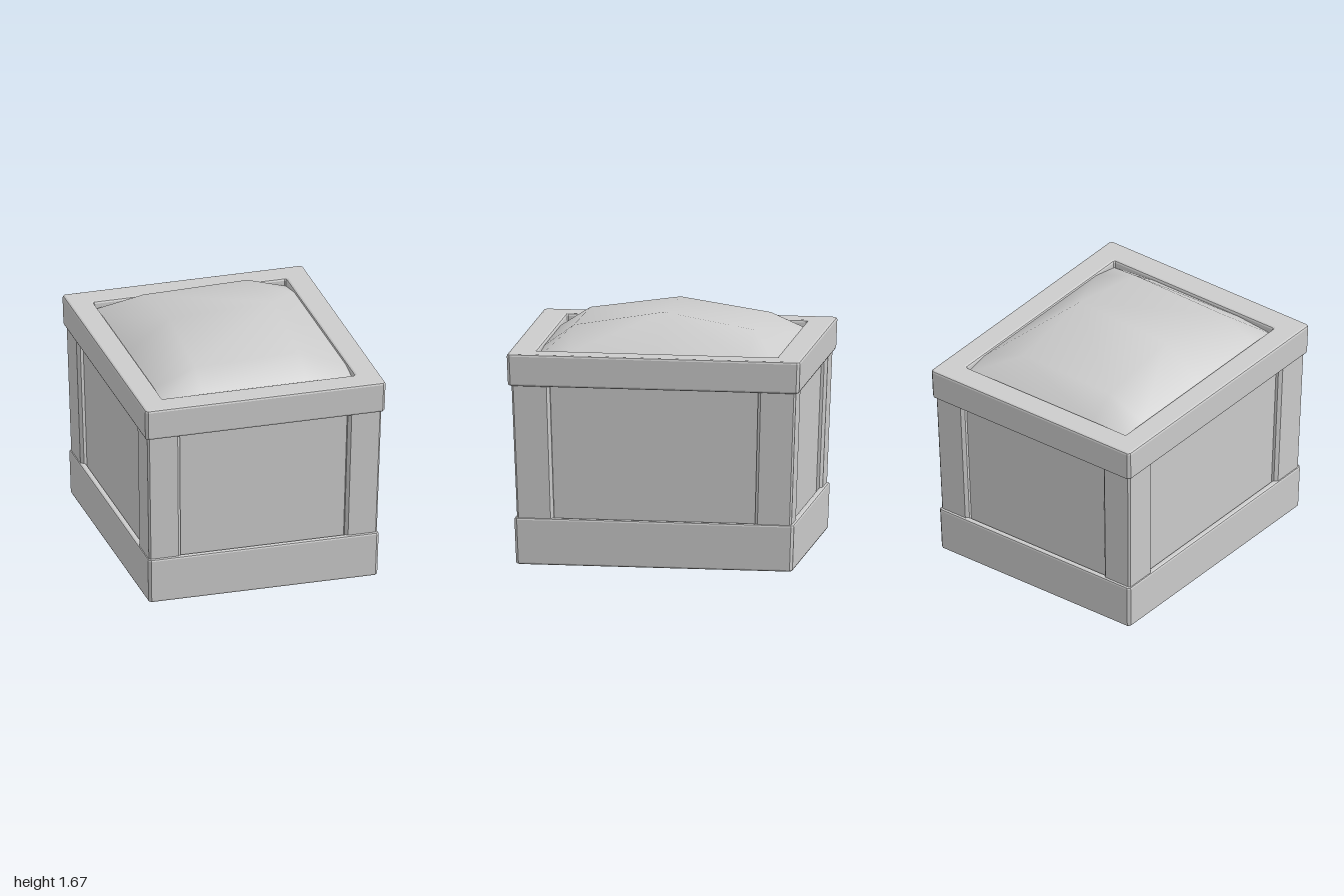
import * as THREE from 'three';

const material = new THREE.MeshStandardMaterial({ color: 0xcccccc, flatShading: true });
const moundMaterial = new THREE.MeshStandardMaterial({ color: 0xcccccc, side: THREE.DoubleSide });

// The whole crate widens slightly towards the top
function taper(geometry) {
  const p = geometry.attributes.position;
  for (let i = 0; i < p.count; i++) {
    const h = p.getY(i) - 0.32;
    p.setX(i, p.getX(i) * (1 + 0.03 * h));
    p.setZ(i, p.getZ(i) * (1 + 0.04 * h));
  }
  geometry.computeVertexNormals();
  return geometry;
}

function addPart(group, name, geometry) {
  const mesh = new THREE.Mesh(taper(geometry), material);
  mesh.name = name;
  group.add(mesh);
}

// Corner points of a rectangle with its corners cut off by c
function cutRect(hx, hz, c) {
  return [
    [hx - c, -hz], [hx, -hz + c], [hx, hz - c], [hx - c, hz],
    [-hx + c, hz], [-hx, hz - c], [-hx, -hz + c], [-hx + c, -hz],
  ].map(([x, y]) => new THREE.Vector2(x, y));
}

// Upright extrusion of a plan shape from y0 to y1 with a bevel b
function upright(shape, y0, y1, b) {
  const g = new THREE.ExtrudeGeometry(shape, {
    depth: y1 - y0 - 2 * b, bevelEnabled: b > 0, bevelSize: b,
    bevelThickness: b, bevelOffset: -b, bevelSegments: 2,
  });
  return g.rotateX(-Math.PI / 2).translate(0, y0 + b, 0);
}

function frame(outer, inner, y0, y1, b) {
  const shape = new THREE.Shape(cutRect(...outer, 0.018));
  shape.holes.push(new THREE.Path(cutRect(...inner, 0.008)));
  return upright(shape, y0, y1, b);
}

// Domed filling: a coarse, smoothly shaded grid whose rim dips into the opening
function mound() {
  const xs = [-0.672, -0.385, 0.345, 0.675];
  const zs = [-0.815, -0.615, 0, 0.615, 0.815];
  const heights = [
    [1.39, 1.42, 1.42, 1.39],
    [1.43, 1.55, 1.565, 1.43],
    [1.43, 1.64, 1.67, 1.43],
    [1.43, 1.55, 1.565, 1.43],
    [1.39, 1.42, 1.42, 1.39],
  ];
  const points = [], index = [];
  zs.forEach((z, j) => xs.forEach((x, i) => points.push(x, heights[j][i], z)));
  for (let j = 0; j < 4; j++) {
    for (let i = 0; i < 3; i++) {
      const a = j * 4 + i, b = a + 1, c = a + 4, d = a + 5;
      // Split each cell along the diagonal that runs towards the crown
      if ((j < 2) === (i < 2)) index.push(a, c, d, a, d, b);
      else index.push(a, c, b, b, c, d);
    }
  }
  const g = new THREE.BufferGeometry();
  g.setAttribute('position', new THREE.Float32BufferAttribute(points, 3));
  g.setIndex(index);
  g.computeVertexNormals();
  return g;
}

export function createModel() {
  const crate = new THREE.Group();
  crate.name = 'crate';

  // Base skirt, open underneath, and heavy top rim
  addPart(crate, 'baseFrame', frame([0.81, 0.953], [0.765, 0.908], 0, 0.32, 0.014));
  addPart(crate, 'topRim', frame([0.817, 0.957], [0.653, 0.782], 1.225, 1.445, 0.016));

  // L-shaped corner posts with chamfered ends
  const X = 0.8, Z = 0.935, t = 0.05, ex = 0.575, ez = 0.685, c = 0.02;
  for (const sx of [-1, 1]) {
    for (const sz of [-1, 1]) {
      const plan = [
        [X - 0.012, Z], [X, Z - 0.012], [X, ez + c], [X - c, ez], [X - t, ez],
        [X - t, Z - t], [ex, Z - t], [ex, Z - c], [ex + c, Z],
      ].map(([x, z]) => new THREE.Vector2(sx * x, sz * z));
      addPart(crate, 'cornerPost', upright(new THREE.Shape(plan), 0.29, 1.24, 0));
    }
  }

  // Recessed side panels
  for (const s of [-1, 1]) {
    addPart(crate, s > 0 ? 'frontPanel' : 'backPanel',
      new THREE.BoxGeometry(1.18, 0.95, 0.035).translate(0, 0.765, s * 0.8775));
    addPart(crate, s > 0 ? 'leftPanel' : 'rightPanel',
      new THREE.BoxGeometry(0.035, 0.95, 1.4).translate(s * 0.7425, 0.765, 0));
  }

  const filling = new THREE.Mesh(mound(), moundMaterial);
  filling.name = 'moundFilling';
  crate.add(filling);
  return crate;
}
